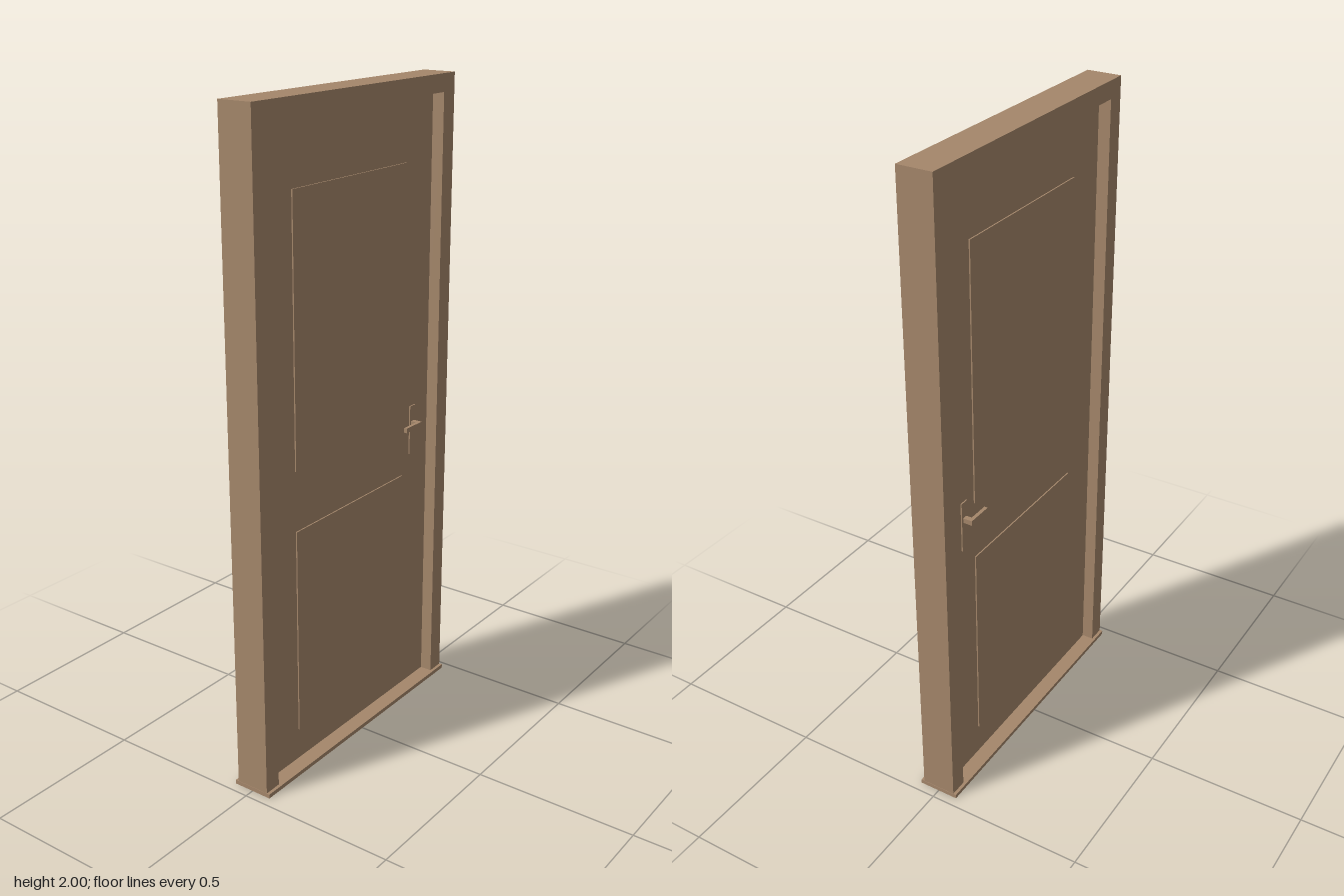
import * as THREE from 'three';

export function createModel() {
  const group = new THREE.Group();
  const wood = new THREE.MeshStandardMaterial({ color: 0xa5876b });
  wood.name = 'warm brown';

  const add = (geometry, name, parent = group) => {
    const mesh = new THREE.Mesh(geometry, wood);
    mesh.name = name;
    parent.add(mesh);
    return mesh;
  };
  // Box given by its lower and upper limits on each axis
  const box = (name, [x0, x1], [y0, y1], [z0, z1], parent) =>
    add(new THREE.BoxGeometry(x1 - x0, y1 - y0, z1 - z0), name, parent)
      .position.set((x0 + x1) / 2, (y0 + y1) / 2, (z0 + z1) / 2);

  const W = 0.469, D = 0.054;          // frame half width and half depth
  const openX = 0.413, openY = 1.946;  // opening inside the frame
  const sill = 0.013, face = 0.018;    // threshold height, leaf half thickness

  // Frame: two jambs joined by a head, as one extruded outline
  const outline = new THREE.Shape([
    [-W, sill], [-openX, sill], [-openX, openY], [openX, openY],
    [openX, sill], [W, sill], [W, 2], [-W, 2],
  ].map(([x, y]) => new THREE.Vector2(x, y)));
  const frame = new THREE.ExtrudeGeometry(outline, { depth: 2 * D, bevelEnabled: false });
  frame.translate(0, 0, -D);
  add(frame, 'frame');

  // Threshold, slightly deeper than the frame
  box('threshold', [-0.47, 0.47], [0, sill], [-0.064, 0.064]);

  // Door leaf, with a narrow gap to the frame
  box('doorLeaf', [-0.409, 0.409], [sill + 0.003, openY - 0.004], [-face, face]);

  // Raised panels and handle on both faces of the leaf
  for (const [side, s] of [['front', 1], ['back', -1]]) {
    const fittings = new THREE.Group();
    fittings.name = side + 'Fittings';
    group.add(fittings);
    const z = (a, b) => (s > 0 ? [a, b] : [-b, -a]);

    box(side + 'UpperPanel', [-0.27, 0.27], [0.956, 1.755], z(face, face + 0.004), fittings);
    box(side + 'LowerPanel', [-0.27, 0.27], [0.116, 0.77], z(face, face + 0.004), fittings);
    box(side + 'HandlePlate', [0.309, 0.337], [0.83, 0.99], z(face, face + 0.004), fittings);
    box(side + 'HandleNeck', [0.315, 0.331], [0.925, 0.94], z(face + 0.004, 0.04), fittings);
    box(side + 'HandleLever', [0.249, 0.331], [0.925, 0.94], z(0.04, 0.051), fittings);
  }
  return group;
}
